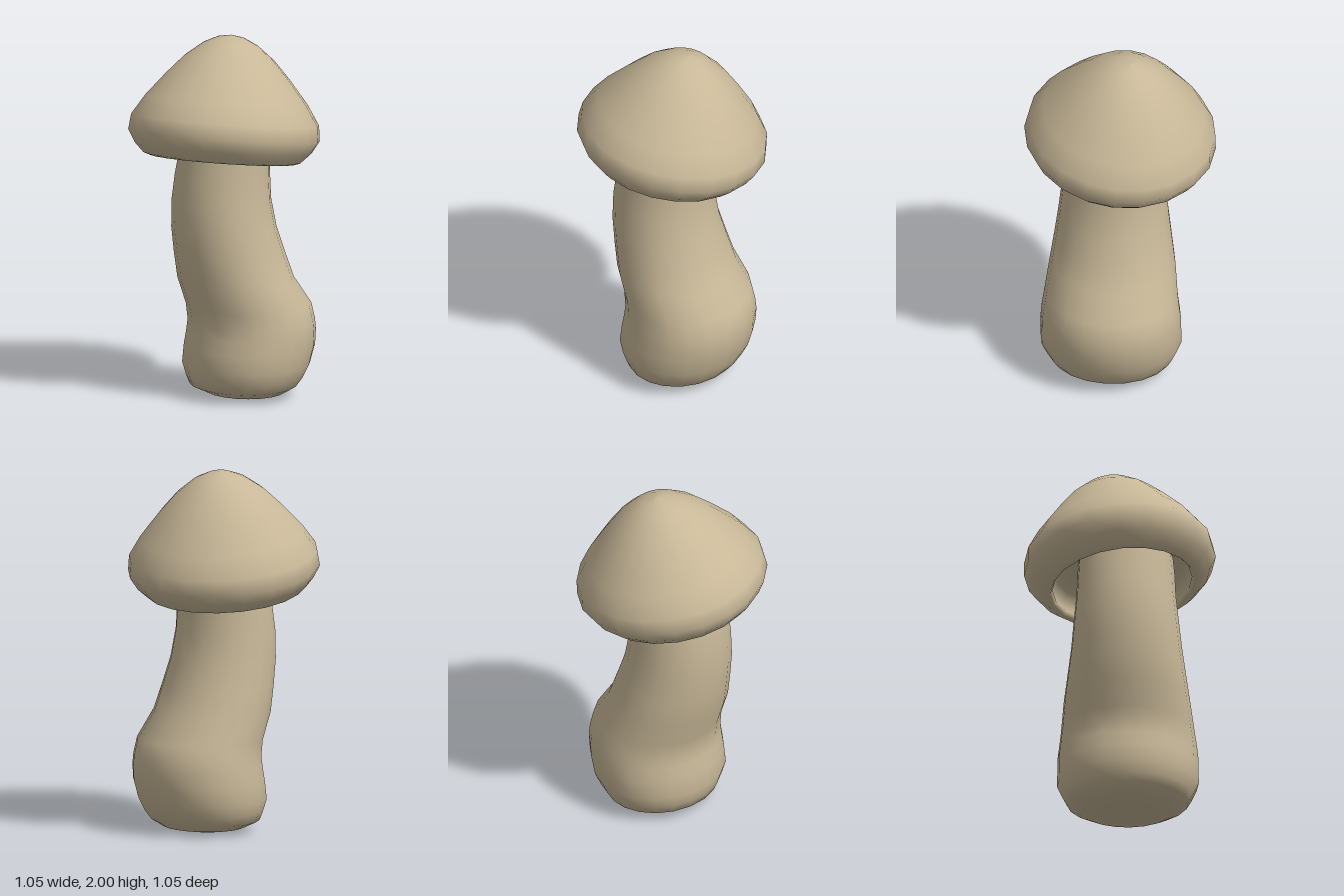
import * as THREE from 'three';

const SIDES = 20;

// Smooth loft through horizontal ellipses: [y, xMin, xMax, zMin, zMax]
function loft(rings) {
  const pos = [], idx = [];
  for (const [y, x0, x1, z0, z1] of rings) {
    for (let i = 0; i < SIDES; i++) {
      const a = (i / SIDES) * Math.PI * 2;
      pos.push((x0 + x1) / 2 + Math.sin(a) * (x1 - x0) / 2, y,
        (z0 + z1) / 2 + Math.cos(a) * (z1 - z0) / 2);
    }
  }
  for (let j = 0; j < rings.length - 1; j++) {
    for (let i = 0; i < SIDES; i++) {
      const a = j * SIDES + i, b = j * SIDES + (i + 1) % SIDES;
      idx.push(a, b, a + SIDES, b, b + SIDES, a + SIDES);
    }
  }
  const g = new THREE.BufferGeometry();
  g.setAttribute('position', new THREE.Float32BufferAttribute(pos, 3));
  g.setIndex(idx);
  g.computeVertexNormals();
  return g;
}

export function createModel() {
  const group = new THREE.Group();
  group.name = 'mushroom';
  const tan = new THREE.MeshStandardMaterial({ color: 0xc8b898 });
  tan.name = 'tan';

  // Crooked stem, bulging at the foot and running up inside the cap
  const stem = new THREE.Mesh(loft([
    [0.00, 0.11, 0.11, 0.04, 0.04],
    [0.005, -0.01, 0.23, -0.12, 0.19],
    [0.02, -0.11, 0.32, -0.21, 0.29],
    [0.06, -0.195, 0.385, -0.295, 0.375],
    [0.11, -0.215, 0.425, -0.32, 0.4],
    [0.18, -0.235, 0.46, -0.35, 0.43],
    [0.28, -0.225, 0.49, -0.35, 0.428],
    [0.36, -0.21, 0.495, -0.35, 0.425],
    [0.42, -0.203, 0.49, -0.342, 0.418],
    [0.51, -0.215, 0.47, -0.33, 0.405],
    [0.66, -0.265, 0.37, -0.31, 0.385],
    [0.80, -0.287, 0.32, -0.288, 0.365],
    [0.95, -0.305, 0.27, -0.265, 0.345],
    [1.11, -0.303, 0.24, -0.25, 0.328],
    [1.25, -0.285, 0.235, -0.237, 0.313],
    [1.40, -0.255, 0.23, -0.23, 0.305],
    [1.50, -0.235, 0.23, -0.225, 0.295],
  ]), tan);
  stem.name = 'stem';
  group.add(stem);

  // Cap: hollow underside, rolled rim and domed top, tilted to the left and back
  const profile = [
    [0, 0.17], [0.25, 0.16], [0.36, 0.12], [0.4, 0.06], [0.385, 0.01],
    [0.4, -0.012], [0.437, 0], [0.49, 0.053], [0.53, 0.123], [0.52, 0.208],
    [0.45, 0.318], [0.345, 0.445], [0.25, 0.548], [0.15, 0.627],
    [0.07, 0.665], [0, 0.676],
  ].map(([r, h]) => new THREE.Vector2(r, h));
  const cap = new THREE.Mesh(new THREE.LatheGeometry(profile, SIDES, 0.058), tan);
  cap.name = 'cap';
  cap.position.set(-0.018, 1.332, 0.018);
  cap.quaternion.setFromUnitVectors(new THREE.Vector3(0, 1, 0),
    new THREE.Vector3(0.12, 1, -0.12).normalize());
  group.add(cap);

  return group;
}
